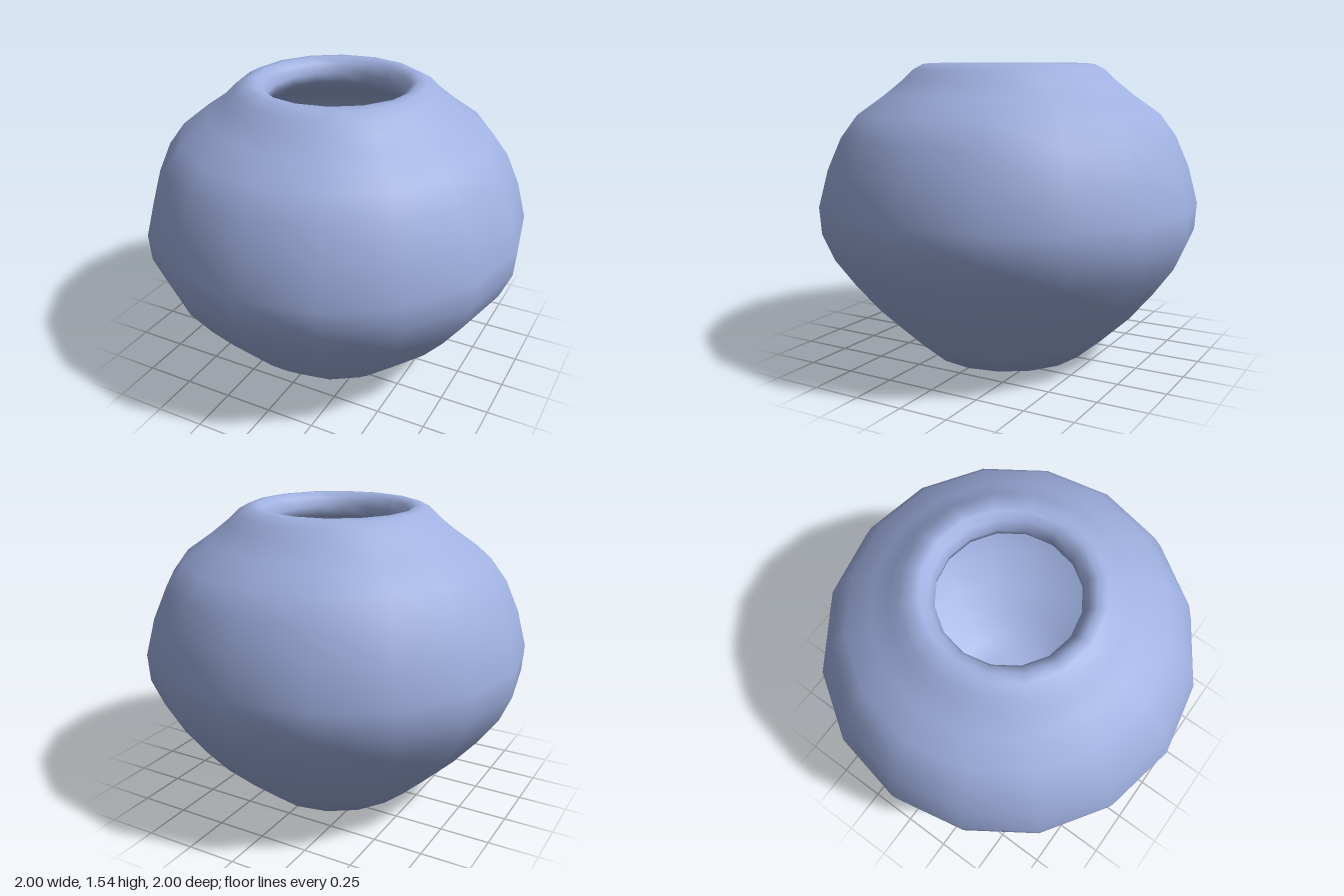
import * as THREE from 'three';

export function createModel() {
  const group = new THREE.Group();
  group.name = 'vase';
  const material = new THREE.MeshStandardMaterial({ color: 0x9fb0e0 });

  // Each profile is a list of [radius, height] pairs
  const outer = [
    [0, 0], [0.42, 0], [0.55, 0.11], [0.7, 0.25], [0.82, 0.39],
    [0.93, 0.54], [0.99, 0.68], [1, 0.82], [0.95, 1.01], [0.88, 1.17],
    [0.795, 1.285], [0.66, 1.38], [0.56, 1.46], [0.51, 1.51],
  ];
  const lip = [[0.455, 1.54], [0.41, 1.545], [0.37, 1.52], [0.345, 1.47]];
  const cavity = [
    [0.355, 1.42], [0.42, 1.37], [0.57, 1.3], [0.73, 1.21], [0.81, 1.12],
    [0.88, 0.98], [0.92, 0.82], [0.91, 0.7], [0.85, 0.57], [0.74, 0.43],
    [0.6, 0.31], [0.44, 0.19], [0.33, 0.11], [0.2, 0.07], [0, 0.07],
  ];

  // One closed, smooth shell: base, belly, rolled lip and hollow inside
  const points = [...outer, ...lip, ...cavity].map(([r, y]) => new THREE.Vector2(r, y));
  const body = new THREE.Mesh(new THREE.LatheGeometry(points, 16), material);
  body.name = 'vaseBody';
  group.add(body);
  return group;
}
